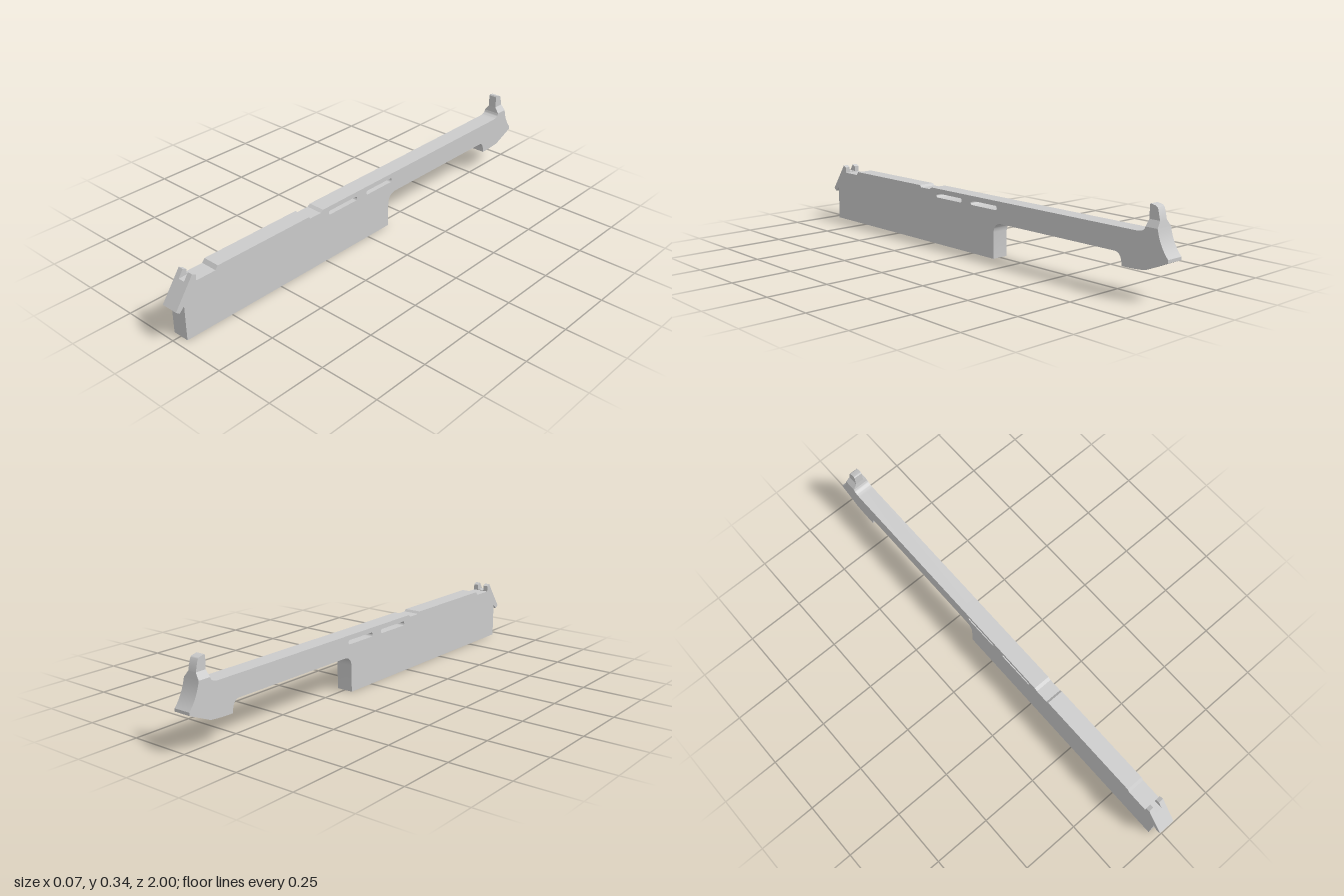
import * as THREE from 'three';
import { toCreasedNormals } from 'three/addons/utils/BufferGeometryUtils.js';

const WIDTH = 0.073;
const material = new THREE.MeshStandardMaterial({ color: 0xcccccc, side: THREE.DoubleSide });

// Side outline from [z, y] corners or [controlZ, controlY, z, y] curves.
function outline(points) {
  const shape = new THREE.Shape();
  points.forEach((p, i) => {
    if (i === 0) shape.moveTo(-p[0], p[1]);
    else if (p.length === 4) shape.quadraticCurveTo(-p[0], p[1], -p[2], p[3]);
    else shape.lineTo(-p[0], p[1]);
  });
  return shape;
}

// Extrudes a side outline across x, centred on the given x.
function slab(shape, width, x = 0) {
  const geometry = new THREE.ExtrudeGeometry(shape, { depth: width, bevelEnabled: false, curveSegments: 10 });
  return geometry.translate(0, 0, -width / 2).rotateY(Math.PI / 2).translate(x, 0, 0);
}

// Drops the faces lying on the ground plane, leaving the underside open.
function openBottom(geometry) {
  const pos = geometry.getAttribute('position');
  const kept = [];
  for (let i = 0; i < pos.count; i += 3) {
    if ([0, 1, 2].every((k) => Math.abs(pos.getY(i + k)) < 1e-5)) continue;
    for (let k = 0; k < 3; k++) kept.push(pos.getX(i + k), pos.getY(i + k), pos.getZ(i + k));
  }
  const open = new THREE.BufferGeometry();
  open.setAttribute('position', new THREE.Float32BufferAttribute(kept, 3));
  return open;
}

// Round-ended slot between two z positions.
function slot(zFront, zBack, y, r) {
  const path = new THREE.Path();
  path.absarc(-zBack - r, y, r, -Math.PI / 2, Math.PI / 2, false);
  path.absarc(-zFront + r, y, r, Math.PI / 2, Math.PI * 1.5, false);
  path.closePath();
  return path;
}

export function createModel() {
  const group = new THREE.Group();
  const add = (name, geometry) => {
    const flat = geometry.index ? geometry.toNonIndexed() : geometry;
    const mesh = new THREE.Mesh(toCreasedNormals(flat, 0.5), material);
    mesh.name = name;
    group.add(mesh);
  };

  // Long body: deep front half, slim rear half and a flared tail
  const body = outline([
    [0.963, 0], [0.963, 0.15], [0.957, 0.152, 0.985, 0.127], [1, 0.139],
    [0.937, 0.228], [0.9, 0.228],
    [0.9, 0.225], [0.812, 0.225], [0.8, 0.24],
    [0.342, 0.24], [0.332, 0.231], [0.275, 0.231], [0.262, 0.24],
    [-0.86, 0.24], [-0.894, 0.24, -0.898, 0.26],
    [-0.951, 0.26], [-0.963, 0.2, -1, 0.16], [-1, 0.148],
    [-0.904, 0.106], [-0.86, 0.1, -0.797, 0.1],
    [-0.795, 0.148, -0.765, 0.15], [-0.175, 0.15],
    [-0.128, 0.15, -0.128, 0.1], [-0.128, 0],
  ]);
  body.holes.push(slot(0.23, 0.066, 0.211, 0.009), slot(0.01, -0.147, 0.211, 0.009));
  add('body', openBottom(slab(body, WIDTH)));

  // Pair of front ears with a notch between them
  const ear = outline([[0.937, 0.228], [0.916, 0.258], [0.9, 0.25], [0.9, 0.228]]);
  for (const side of [1, -1]) {
    add(side > 0 ? 'leftEar' : 'rightEar', slab(ear, 0.022, side * 0.0255));
  }

  // Tail shoulder narrows from body width to fin width
  const shoulder = slab(outline([
    [-0.898, 0.26], [-0.951, 0.26], [-0.946, 0.285], [-0.9, 0.285],
  ]), WIDTH);
  const pos = shoulder.getAttribute('position');
  for (let i = 0; i < pos.count; i++) {
    if (pos.getY(i) > 0.27) pos.setX(i, pos.getX(i) * 0.507);
  }
  add('finShoulder', shoulder);

  // Upright tail fin
  add('tailFin', slab(outline([
    [-0.9, 0.285], [-0.946, 0.285], [-0.936, 0.325],
    [-0.932, 0.334, -0.922, 0.336], [-0.904, 0.34], [-0.9, 0.335],
  ]), WIDTH * 0.507));

  return group;
}
